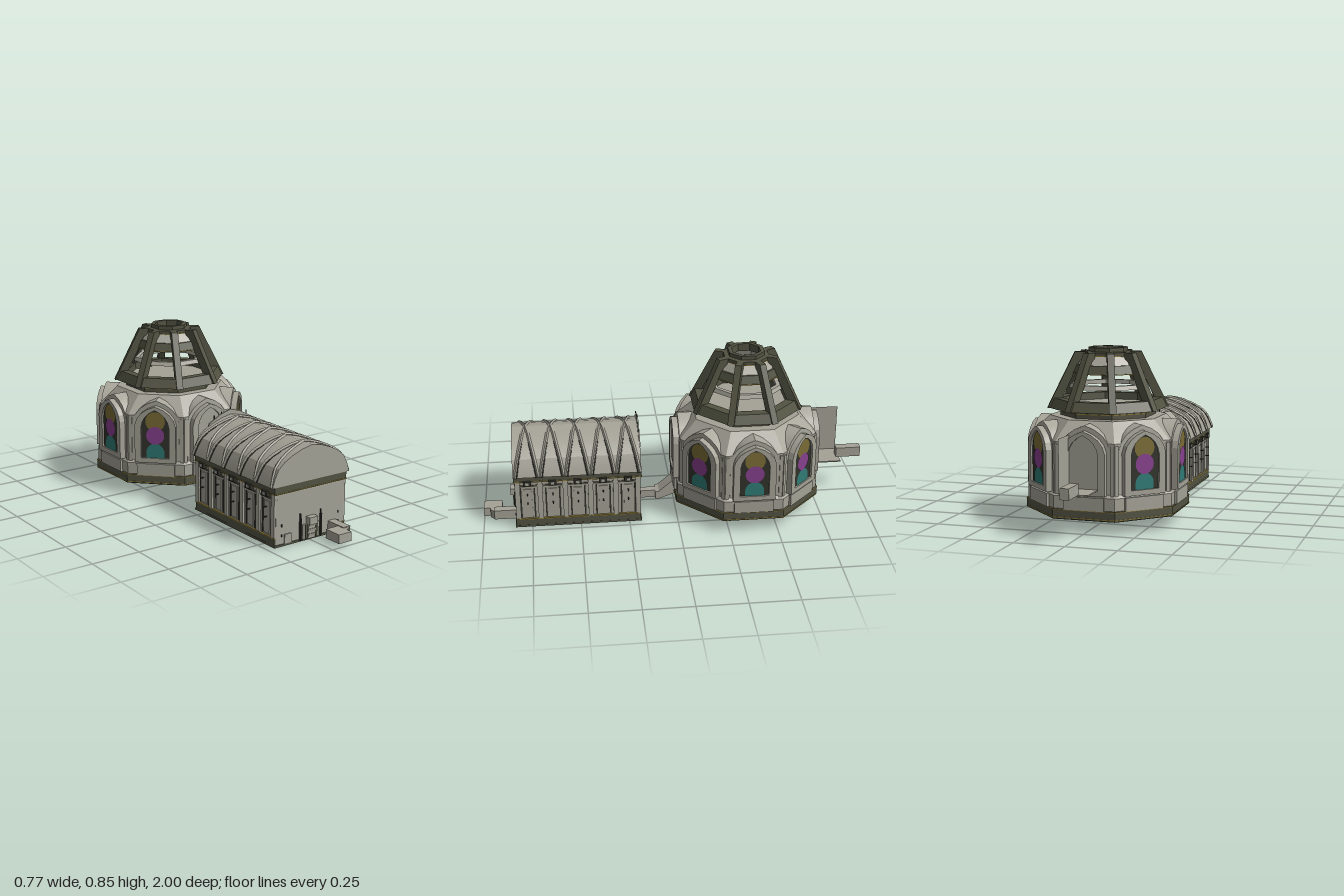
import * as THREE from 'three';
import { toCreasedNormals } from 'three/addons/utils/BufferGeometryUtils.js';

const mat = (name, color) => Object.assign(new THREE.MeshStandardMaterial({ color }), { name });

export function createModel() {
  const stone = mat('stone', 0xa4a296), paleStone = mat('paleStone', 0xaaa89c);
  const olive = mat('darkOlive', 0x525342), iron = mat('darkIron', 0x32322c), gold = mat('goldTrim', 0x8a7838);
  const under = mat('underside', 0x959289);
  const amber = mat('amberGlass', 0x7a6c36), violet = mat('violetGlass', 0x86408c), teal = mat('tealGlass', 0x2f7a74);

  const root = new THREE.Group();
  root.name = 'chapelAndHall';
  const add = (parent, name, geo, material, x = 0, y = 0, z = 0) => {
    const m = new THREE.Mesh(geo, material);
    m.name = name;
    m.position.set(x, y, z);
    parent.add(m);
    return m;
  };
  // Box given by its limits
  const box = (parent, name, material, x0, x1, y0, y1, z0, z1) =>
    add(parent, name, new THREE.BoxGeometry(x1 - x0, y1 - y0, z1 - z0), material, (x0 + x1) / 2, (y0 + y1) / 2, (z0 + z1) / 2);
  // Eight-sided ring from a profile of [apothem, y]
  const C8 = Math.cos(Math.PI / 8);
  const octagon = (parent, name, material, profile) => {
    const g = new THREE.LatheGeometry(profile.map(([a, y]) => new THREE.Vector2(a / C8, y)), 8);
    g.rotateY(Math.PI / 8);
    return add(parent, name, toCreasedNormals(g, 0.3), material);
  };
  const trim = (name, a, y) =>
    octagon(rotunda, name, gold, [[a - 0.006, y], [a, y], [a, y + 0.004], [a - 0.006, y + 0.004]]);
  // Pointed arch outline
  const archPath = (P, w, y0, spring, apex) => {
    const p = new P(), c = spring + (apex - spring) * 0.7;
    p.moveTo(-w, y0);
    p.lineTo(w, y0);
    p.lineTo(w, spring);
    p.quadraticCurveTo(w * 0.9, c, 0, apex);
    p.quadraticCurveTo(-w * 0.9, c, -w, spring);
    p.lineTo(-w, y0);
    return p;
  };
  const extrude = (shape, depth, segs = 6) =>
    toCreasedNormals(new THREE.ExtrudeGeometry(shape, { depth, bevelEnabled: false, curveSegments: segs }), 0.3);

  // ---------- Rotunda ----------
  const rotunda = new THREE.Group();
  rotunda.name = 'rotunda';
  rotunda.position.z = -0.372;
  root.add(rotunda);
  octagon(rotunda, 'floorUnderside', under, [[0, 0.064], [0.37, 0.064]]);
  octagon(rotunda, 'base', olive, [[0.368, 0.064], [0.372, 0.067], [0.372, 0.113], [0.35, 0.115]]);
  trim('baseTrim', 0.374, 0.071);
  trim('baseTrim', 0.374, 0.109);
  octagon(rotunda, 'wall', stone, [[0.366, 0.115], [0.366, 0.175], [0.352, 0.19], [0.352, 0.43], [0.335, 0.45],
    [0.29, 0.495], [0.265, 0.522], [0.2, 0.522]]);
  octagon(rotunda, 'drum', olive, [[0.217, 0.52], [0.217, 0.558]]);
  trim('drumTrim', 0.22, 0.542);

  // Foot pads beneath
  for (let i = 0; i < 8; i++) {
    const a = i * Math.PI / 4;
    add(rotunda, 'footPad', new THREE.CylinderGeometry(0.03, 0.03, 0.004, 6), under, Math.sin(a) * 0.29, 0.063, Math.cos(a) * 0.29);
  }

  // Arched bays on every face; front and back are blind
  for (let i = 0; i < 8; i++) {
    const bay = new THREE.Group();
    bay.name = 'archedBay';
    bay.rotation.y = i * Math.PI / 4;
    rotunda.add(bay);
    const blind = i % 4 === 0;
    const hood = archPath(THREE.Shape, 0.122, 0.185, 0.40, 0.512);
    hood.holes.push(archPath(THREE.Path, 0.076, 0.21, 0.375, 0.472));
    add(bay, 'bayHood', extrude(hood, 0.108, 4), paleStone, 0, 0, 0.245);
    const frame = archPath(THREE.Shape, 0.108, 0.185, 0.385, 0.488);
    frame.holes.push(archPath(THREE.Path, 0.074, 0.21, 0.375, 0.468));
    add(bay, 'bayFrame', extrude(frame, 0.034, 4), stone, 0, 0, 0.35);
    box(bay, 'baySill', stone, -0.1, 0.1, 0.113, 0.177, 0.35, 0.379);
    box(bay, 'cornerPier', stone, 0.128, 0.146, 0.115, 0.42, 0.33, 0.358);
    box(bay, 'cornerPier', stone, -0.146, -0.128, 0.115, 0.42, 0.33, 0.358);
    add(bay, blind ? 'blindPanel' : 'windowBacking',
      new THREE.ShapeGeometry(archPath(THREE.Shape, 0.078, 0.205, 0.375, 0.474)), blind ? stone : iron, 0, 0, 0.374);
    if (blind) continue;
    // Stained glass in three colours
    add(bay, 'amberPane', new THREE.CircleGeometry(0.052, 20), amber, 0, 0.406, 0.376);
    add(bay, 'violetPane', new THREE.CircleGeometry(0.048, 20), violet, 0, 0.331, 0.378);
    add(bay, 'tealPane', new THREE.CircleGeometry(0.048, 20, 0, Math.PI), teal, 0, 0.24, 0.377);
    add(bay, 'tealPane', new THREE.PlaneGeometry(0.096, 0.03), teal, 0, 0.225, 0.377);
  }

  // Open crown
  octagon(rotunda, 'crownSkirt', olive, [[0.205, 0.557], [0.273, 0.557], [0.251, 0.605], [0.208, 0.605], [0.205, 0.557]]);
  octagon(rotunda, 'crownFloor', stone, [[0.21, 0.57], [0, 0.571]]);
  octagon(rotunda, 'lowerRing', paleStone, [[0.15, 0.655], [0.178, 0.655], [0.17, 0.676], [0.15, 0.676], [0.15, 0.655]]);
  octagon(rotunda, 'middleRing', olive, [[0.135, 0.727], [0.165, 0.727], [0.148, 0.77], [0.125, 0.77], [0.135, 0.727]]);
  trim('middleTrim', 0.167, 0.727);
  octagon(rotunda, 'upperRing', paleStone, [[0.115, 0.77], [0.138, 0.77], [0.112, 0.81], [0.1, 0.81], [0.115, 0.77]]);
  octagon(rotunda, 'topRing', olive, [[0.07, 0.812], [0.113, 0.812], [0.113, 0.83], [0.09, 0.832], [0.09, 0.852], [0.07, 0.852], [0.07, 0.812]]);
  trim('topTrim', 0.116, 0.811);
  const ribShape = new THREE.Shape([[0.298, 0.557], [0.163, 0.83], [0.095, 0.83], [0.11, 0.808], [0.14, 0.785], [0.226, 0.605], [0.226, 0.557]]
    .map(([x, y]) => new THREE.Vector2(x, y)));
  for (let i = 0; i < 8; i++) {
    const rib = add(rotunda, 'crownRib', extrude(ribShape, 0.034).translate(0, 0, -0.017), olive);
    rib.rotation.y = Math.PI / 8 + i * Math.PI / 4;
  }

  // Rear annex: an open recess whose walls face inward, with a floor slab and spur
  add(root, 'annexWall', new THREE.PlaneGeometry(0.14, 0.257).rotateY(-Math.PI / 2), stone, 0.07, 0.3395, -0.815);
  add(root, 'annexWall', new THREE.PlaneGeometry(0.14, 0.257).rotateY(Math.PI / 2), stone, -0.07, 0.3395, -0.815);
  box(root, 'annexFloor', stone, -0.07, 0.07, 0.209, 0.215, -0.885, -0.74);
  box(root, 'rearSpur', stone, -0.022, 0.022, 0.212, 0.265, -1, -0.87);

  // ---------- Link passage ----------
  const link = new THREE.Shape([[-0.03, 0.068], [0.01, 0.05], [0.08, 0.025], [0.1, 0.025], [0.1, 0.066], [0.08, 0.07], [0.01, 0.13], [-0.03, 0.13]]
    .map(([z, y]) => new THREE.Vector2(-z, y)));
  add(root, 'linkRamp', extrude(link, 0.08).rotateY(Math.PI / 2), stone, -0.04, 0, 0);
  box(root, 'linkPassage', stone, -0.02, 0.02, 0.025, 0.066, 0.09, 0.2);

  // ---------- Hall ----------
  const hall = new THREE.Group();
  hall.name = 'hall';
  root.add(hall);
  const z0 = 0.19, z1 = 0.832, pitch = (z1 - z0) / 5;
  box(hall, 'hallWalls', stone, -0.207, 0.207, 0.012, 0.3, z0, z1);
  box(hall, 'hallBase', olive, -0.217, 0.217, 0.003, 0.014, z0 - 0.004, z1 + 0.004);
  box(hall, 'hallFloor', under, -0.214, 0.214, 0.001, 0.004, z0, z1);
  box(hall, 'floorPanelEdge', iron, -0.152, 0.152, 0.0005, 0.003, 0.268, 0.752);
  box(hall, 'floorPanel', under, -0.148, 0.148, 0, 0.003, 0.272, 0.748);
  box(hall, 'cornice', olive, -0.217, 0.217, 0.267, 0.3, z0 - 0.004, z1 + 0.004);
  box(hall, 'corniceTrim', gold, -0.219, 0.219, 0.263, 0.268, z0 - 0.006, z1 + 0.006);

  // Barrel roof
  const half = [[0.238, 0.3], [0.222, 0.345], [0.2, 0.387], [0.165, 0.416], [0.12, 0.44], [0.06, 0.462]];
  const roofPts = [...half, [0, 0.474], ...half.slice().reverse().map(([x, y]) => [-x, y])];
  const roof = new THREE.Shape(roofPts.map(([x, y]) => new THREE.Vector2(x * 0.985, y)));
  add(hall, 'roof', extrude(roof, 0.65), stone, 0, 0, 0.187);
  const gable = new THREE.Shape([[0.15, 0.4], [0.13, 0.445], [0.06, 0.482], [0, 0.5], [-0.06, 0.482], [-0.13, 0.445], [-0.15, 0.4]]
    .map(([x, y]) => new THREE.Vector2(x, y)));
  add(hall, 'rearGable', extrude(gable, 0.008), stone, 0, 0, 0.184);
  for (const x of [-0.1, -0.055, 0, 0.055, 0.1])
    box(hall, 'gablePin', iron, x - 0.002, x + 0.002, 0.45, 0.51 - Math.abs(x) * 0.3, 0.186, 0.19);

  // Crossed ribs over the roof, one pair per bay
  for (let i = 0; i < 5; i++) for (const dir of [1, -1]) {
    const pts = roofPts.map(([x, y], k) => {
      const t = k / (roofPts.length - 1) * 2 - 1;
      const s = Math.sign(t) * Math.pow(Math.abs(t), 0.8);
      return new THREE.Vector3(x * 0.985, y, z0 + (i + 0.5 + dir * s * 0.46) * pitch);
    });
    const path = new THREE.CatmullRomCurve3(pts);
    add(hall, 'roofRib', toCreasedNormals(new THREE.TubeGeometry(path, 28, 0.009, 4), 0.6), stone);
    // Shadow gaps beside the rib on the steep flanks only
    for (const flank of [pts.slice(0, 5), pts.slice(-5)])
      add(hall, 'roofRibGap', new THREE.TubeGeometry(new THREE.CatmullRomCurve3(flank), 10, 0.0045, 4), iron, 0, -0.002, dir * Math.sign(flank[0].x) * 0.008);
  }

  // Side walls with columns, slots and lamps
  for (const s of [-1, 1]) {
    const side = (name, m, a, b, y0, y1, za, zb) =>
      box(hall, name, m, Math.min(s * a, s * b), Math.max(s * a, s * b), y0, y1, za, zb);
    side('sidePlinth', olive, 0.2, 0.216, 0.014, 0.05, z0, z1);
    side('plinthTrim', gold, 0.2, 0.218, 0.046, 0.051, z0, z1);
    side('stringCourse', olive, 0.2, 0.211, 0.234, 0.243, z0, z1);
    for (let i = 0; i <= 5; i++) {
      const z = Math.min(Math.max(z0 + i * pitch, z0 + 0.014), z1 - 0.014);
      side('sideColumn', paleStone, 0.2, 0.217, 0.05, 0.265, z - 0.013, z + 0.013);
      if (i === 5) continue;
      const c = z0 + (i + 0.5) * pitch;
      for (const d of [-0.035, 0.035]) side('sideSlot', iron, 0.2, 0.2095, 0.055, 0.225, c + d - 0.004, c + d + 0.004);
      side('sidePanel', stone, 0.2, 0.212, 0.06, 0.22, c - 0.022, c + 0.022);
      side('lamp', iron, 0.2, 0.229, 0.246, 0.272, c - 0.02, c + 0.02);
      side('lampGlass', paleStone, 0.225, 0.231, 0.252, 0.266, c - 0.008, c + 0.008);
      for (const y of [0.14, 0.19]) side('wallSpike', iron, 0.205, 0.232, y, y + 0.004, c - 0.003, c + 0.003);
    }
  }

  // Entrance with steps, posts and side duct
  box(hall, 'doorway', paleStone, -0.05, 0.05, 0.012, 0.085, z1, 0.842);
  box(hall, 'doorHood', stone, -0.025, 0.025, 0.085, 0.122, z1, 0.862);
  for (let i = 0; i < 6; i++) box(hall, 'doorSlat', i % 2 ? under : stone, -0.022, 0.022, 0.012 + i * 0.012, 0.024 + i * 0.012, z1, 0.847 + (i % 2) * 0.003);
  for (const s of [-1, 1]) {
    box(hall, 'doorPost', iron, s * 0.062 - 0.004, s * 0.062 + 0.004, 0.008, 0.12, z1, 0.843);
    box(hall, 'doorPostTip', iron, s * 0.062 - 0.002, s * 0.062 + 0.002, 0.12, 0.143, z1, 0.839);
    box(hall, 'doorJamb', olive, s * 0.032 - 0.006, s * 0.032 + 0.006, 0.012, 0.085, z1, 0.846);
    for (const y of [0.05, 0.1]) box(hall, 'wallStud', iron, s * 0.173 - 0.002, s * 0.173 + 0.002, y, y + 0.012, z1, 0.837);
  }
  box(hall, 'wallHatch', stone, -0.157, -0.117, 0.014, 0.06, z1, 0.838);
  box(hall, 'ductArm', stone, 0.112, 0.155, 0.02, 0.07, z1, 0.945);
  box(hall, 'ductEnd', stone, 0.038, 0.115, 0.02, 0.066, 0.905, 1);
  const bend = new THREE.Shape([[0.112, 0.94], [0.155, 0.94], [0.13, 0.965], [0.112, 0.965]].map(([x, z]) => new THREE.Vector2(x, -z)));
  add(hall, 'ductBend', extrude(bend, 0.046).rotateX(-Math.PI / 2), stone, 0, 0.02, 0);

  return root;
}
